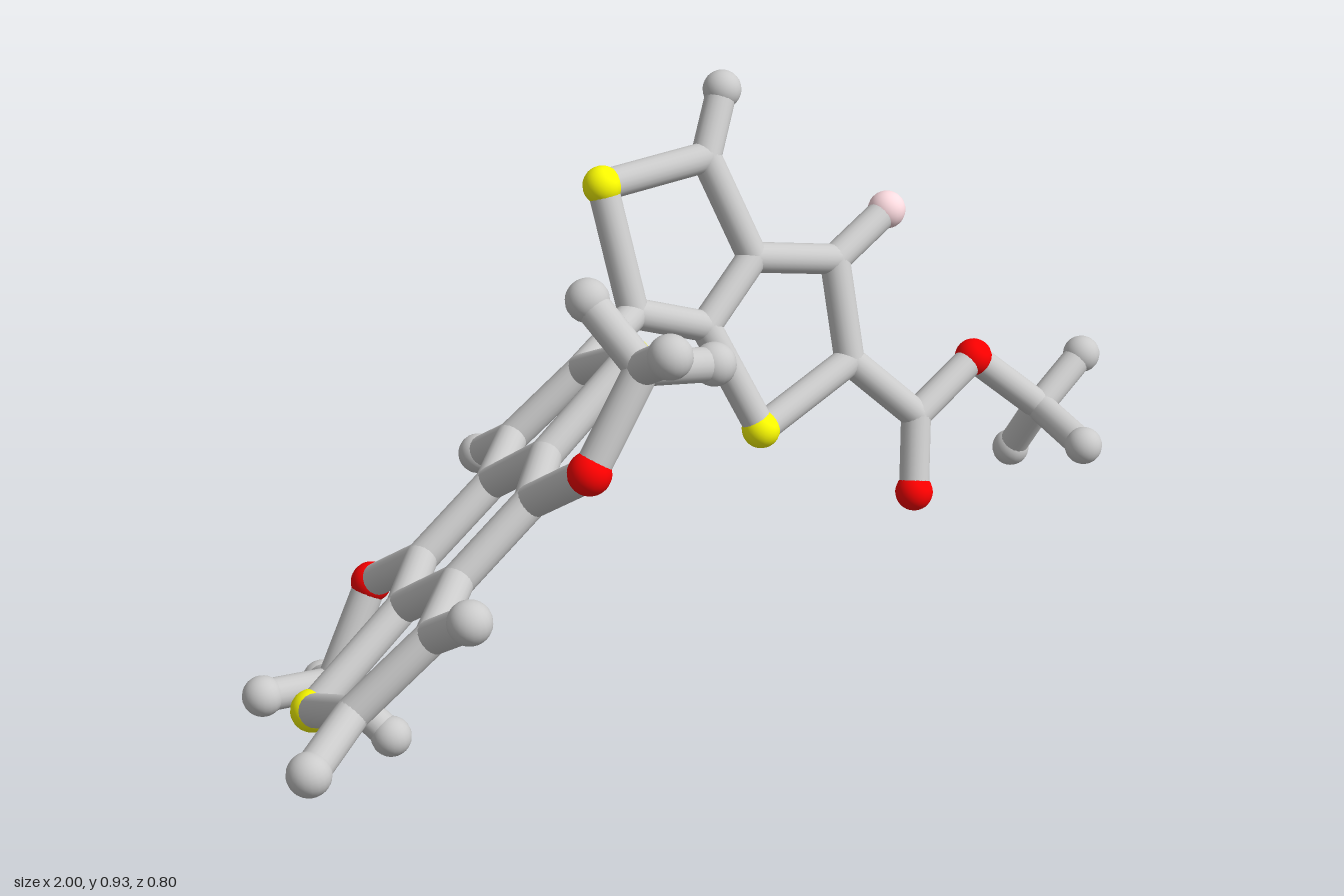
import * as THREE from 'three';

const BOND_R = 0.027;
const BALL_R = 0.034;
const COLORS = { grey: 0xcccccc, yellow: 0xffff00, red: 0xff0000, pink: 0xffdde2 };

// Atoms by first letter: C carbon (flush joint), H hydrogen, S sulphur, O oxygen, F fluorine
const KINDS = {
  C: ['carbonJoint', BOND_R, 'grey'],
  H: ['hydrogenBall', BALL_R, 'grey'],
  S: ['sulphurBall', BALL_R, 'yellow'],
  O: ['oxygenBall', BALL_R, 'red'],
  F: ['fluorineBall', BALL_R, 'pink'],
};

// One half of the three-ring core; the other half is its point reflection
const CORE_CENTRE = [-0.447, 0.473, -0.007];
const coreHalf = {
  S1: [-0.77, 0.283, -0.05],
  C2: [-0.85, 0.405, 0.13],
  C3: [-0.735, 0.505, 0.185],
  H3: [-0.75, 0.58, 0.28],
  C4: [-0.589, 0.492, 0.094],
  C5: [-0.581, 0.384, -0.037],
  C6: [-0.455, 0.583, 0.124],
  O6: [-0.463, 0.688, 0.254],
};
const coreBonds = ['S1 C2', 'C2 C3', 'C3 C4', 'C3 H3', 'C4 C5', 'C5 S1', 'C4 C6', 'C6 O6'];

// Twisted pair of fused five-sided rings
const twinRing = {
  C20: [0.125, 0.568, -0.177],
  S21: [0.152, 0.77, -0.27],
  C22: [0.358, 0.767, -0.214],
  H22: [0.437, 0.859, -0.245],
  C23: [0.377, 0.596, -0.122],
  C24: [0.243, 0.516, -0.116],
  S25: [0.277, 0.334, -0.016],
  C26: [0.495, 0.388, 0.008],
  C27: [0.532, 0.553, -0.06],
  F27: [0.67, 0.602, -0.052],
};
const twinBonds = ['C20 S21', 'S21 C22', 'C22 C23', 'C23 C24', 'C24 C20', 'C22 H22',
  'C24 S25', 'S25 C26', 'C26 C27', 'C27 C23', 'C27 F27'];

// Side chain and the three methyl ends
const chains = {
  C30: [0.587, 0.268, 0.093],
  O31: [0.533, 0.147, 0.135],
  O32: [0.741, 0.327, 0.105],
  C33: [0.848, 0.208, 0.184],
  H34: [0.968, 0.27, 0.192],
  H35: [0.801, 0.194, 0.316],
  H36: [0.848, 0.097, 0.128],
  C40: [-0.357, 0.826, 0.266],
  H41: [-0.408, 0.902, 0.364],
  H42: [-0.354, 0.9, 0.155],
  H43: [-0.232, 0.793, 0.3],
  C50: [-0.533, 0.11, -0.266],
  H51: [-0.469, 0.038, -0.363],
  H52: [-0.515, 0.046, -0.15],
  H53: [-0.653, 0.13, -0.303],
  H60: [-0.968, 0.375, 0.16],
};
const chainBonds = ['C26 C30', 'C30 O31', 'C30 O32', 'O32 C33', 'C33 H34', 'C33 H35', 'C33 H36',
  'O6 C40', 'C40 H41', 'C40 H42', 'C40 H43',
  'O6b C50', 'C50 H51', 'C50 H52', 'C50 H53',
  'C2 H60', 'C2b C20', 'C6 C5b', 'C6b C5'];

export function createModel() {
  const model = new THREE.Group();
  model.name = 'molecule';
  const materials = {};
  for (const key in COLORS) materials[key] = new THREE.MeshStandardMaterial({ color: COLORS[key] });

  const atoms = { ...coreHalf, ...twinRing, ...chains };
  const bonds = [...coreBonds, ...twinBonds, ...chainBonds];
  // Reflected half of the core
  for (const id in coreHalf) atoms[id + 'b'] = coreHalf[id].map((v, i) => 2 * CORE_CENTRE[i] - v);
  for (const bond of coreBonds) bonds.push(bond.split(' ').map((id) => id + 'b').join(' '));

  // Balls and joints
  for (const id in atoms) {
    const [name, radius, color] = KINDS[id[0]];
    const ball = new THREE.Mesh(new THREE.SphereGeometry(radius, 20, 14), materials[color]);
    ball.name = name;
    ball.position.set(...atoms[id]);
    model.add(ball);
  }

  // Bond rods
  const up = new THREE.Vector3(0, 1, 0);
  for (const bond of bonds) {
    const [a, b] = bond.split(' ').map((id) => new THREE.Vector3(...atoms[id]));
    const axis = b.clone().sub(a);
    const rod = new THREE.Mesh(
      new THREE.CylinderGeometry(BOND_R, BOND_R, axis.length(), 20, 1, true), materials.grey);
    rod.name = 'bondRod';
    rod.position.copy(a).add(b).multiplyScalar(0.5);
    rod.quaternion.setFromUnitVectors(up, axis.normalize());
    model.add(rod);
  }
  return model;
}
